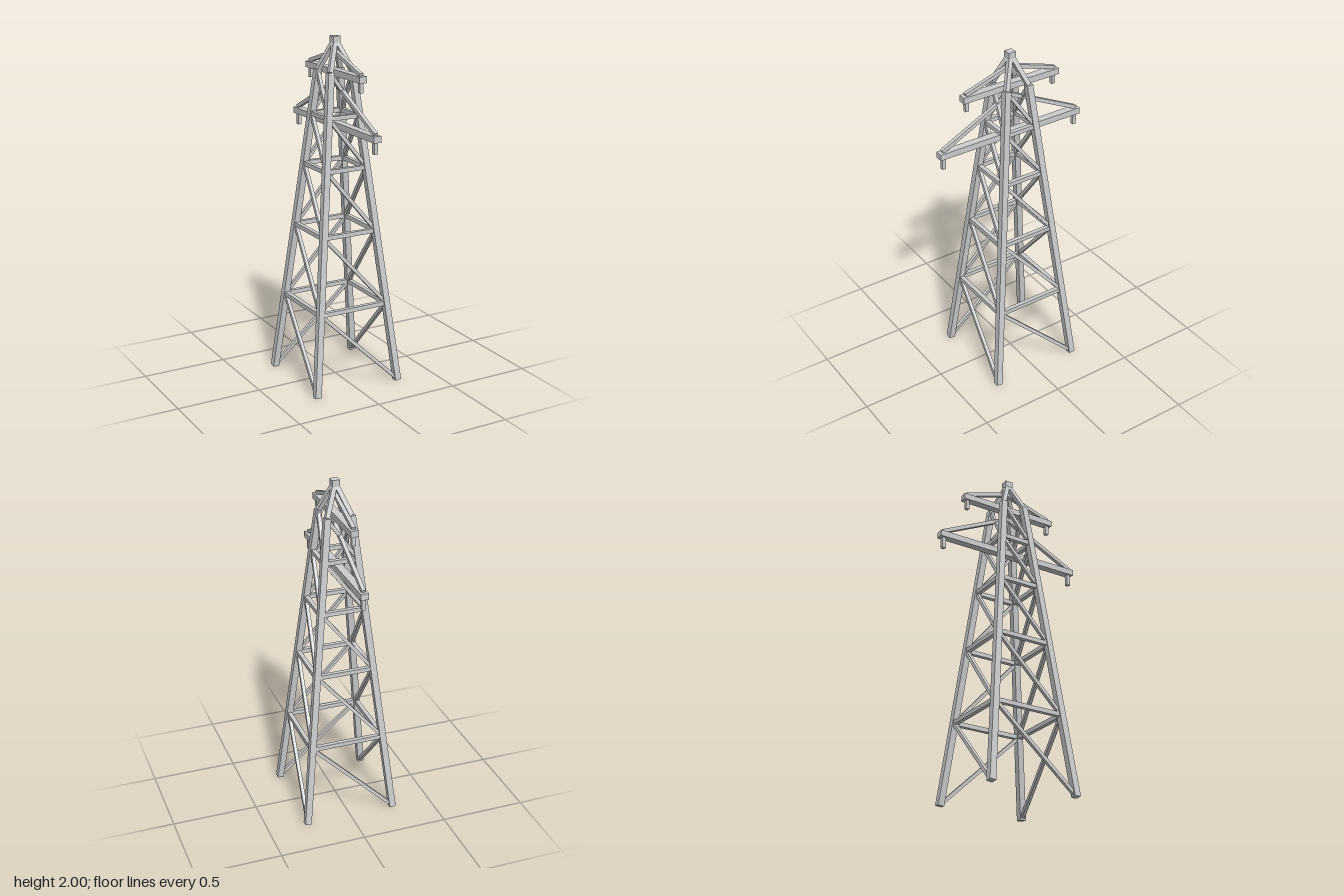
import * as THREE from 'three';

const UP = new THREE.Vector3(0, 1, 0);
const LEG_TOP = 1.81;
// distance of the leg centre line from the axis at height y
const spread = (y) => 0.265 - 0.195 * (y / LEG_TOP);

export function createModel() {
  const tower = new THREE.Group();
  tower.name = 'latticeTower';
  const material = new THREE.MeshStandardMaterial({ color: 0xcccccc, flatShading: true });

  const box = (parent, name, size, position) => {
    const mesh = new THREE.Mesh(new THREE.BoxGeometry(...size), material);
    mesh.name = name;
    mesh.position.set(...position);
    parent.add(mesh);
    return mesh;
  };

  // square bar running from point a to point b
  const beam = (parent, name, a, b, width) => {
    const start = new THREE.Vector3(...a);
    const end = new THREE.Vector3(...b);
    const dir = end.clone().sub(start);
    const middle = start.clone().add(end).multiplyScalar(0.5);
    const mesh = box(parent, name, [width, dir.length(), width], middle.toArray());
    mesh.quaternion.setFromUnitVectors(UP, dir.normalize());
    return mesh;
  };

  // four leaning legs and the peak struts above them
  for (const sx of [-1, 1]) {
    for (const sz of [-1, 1]) {
      const foot = spread(0);
      const head = spread(LEG_TOP);
      beam(tower, 'leg', [sx * foot, 0.004, sz * foot], [sx * head, LEG_TOP, sz * head], 0.037);
      beam(tower, 'peakStrut', [sx * head, LEG_TOP, sz * head], [0, 1.98, 0], 0.026);
    }
  }
  box(tower, 'peakCap', [0.045, 0.037, 0.045], [0, 1.9815, 0]);

  // bracing: one diagonal per panel on each side, with a rail between panels
  const levels = [0.01, 0.474, 0.907, 1.272, 1.563, 1.805];
  for (let k = 0; k < 4; k++) {
    const side = new THREE.Group();
    side.name = 'sideBracing';
    side.rotation.y = (k * Math.PI) / 2;
    for (let i = 0; i < levels.length - 1; i++) {
      const [y0, y1] = [levels[i], levels[i + 1]];
      const [s0, s1] = [spread(y0), spread(y1)];
      beam(side, 'diagonalBrace', [s0, y0, s0], [-s1, y1, s1], 0.02);
      if (i > 0) beam(side, 'rail', [-s0, y0, s0], [s0, y0, s0], 0.025);
    }
    tower.add(side);
  }

  // cross arms with sloping stays and hanging insulators
  const arms = [
    { name: 'upperArm', y: 1.802, reach: 0.305, stayTop: 1.915, drop: 0.056 },
    { name: 'lowerArm', y: 1.508, reach: 0.457, stayTop: 1.745, drop: 0.066 },
  ];
  for (const { name, y, reach, stayTop, drop } of arms) {
    const arm = new THREE.Group();
    arm.name = name;
    box(arm, 'crossBeam', [0.045, 0.036, reach * 2], [0, y, 0]);
    for (const s of [-1, 1]) {
      beam(arm, 'stay', [0, y + 0.022, s * (reach - 0.02)], [0, stayTop, 0], 0.022);
      box(arm, 'insulator', [0.022, drop + 0.01, 0.022],
        [0, y - 0.013 - drop / 2, s * (reach - 0.026)]);
    }
    tower.add(arm);
  }

  return tower;
}
